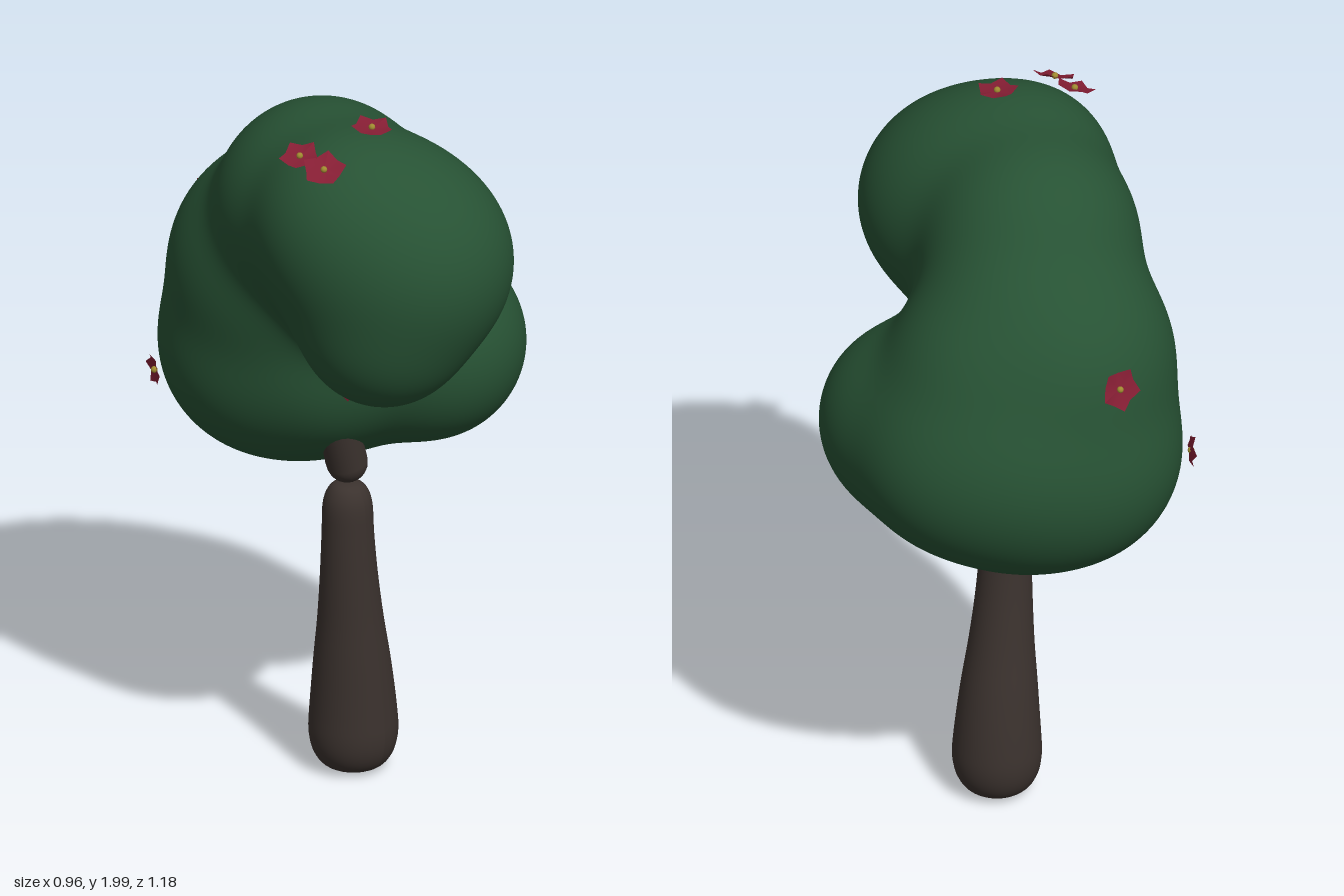
import * as THREE from 'three';
import { mergeVertices } from 'three/addons/utils/BufferGeometryUtils.js';

const mat = (color, side = THREE.FrontSide) => new THREE.MeshStandardMaterial({ color, side });
const V = (x, y, z) => new THREE.Vector3(x, y, z);

// Overlapping balls that melt together into the crown: x, y, z, radius
const BALLS = [
  [-0.05, 1.42, -0.21, 0.32],  // back
  [0.11, 1.40, -0.15, 0.255],  // right shoulder
  [0.00, 1.55, -0.12, 0.22],   // upper shoulder
  [0.20, 1.20, -0.16, 0.27],   // lower right
  [0.20, 1.19, 0.045, 0.26],   // front lobe
  [-0.05, 1.17, -0.275, 0.30], // lower back
  [0.10, 1.21, -0.24, 0.285],  // lower back right
  [0.05, 1.13, -0.21, 0.26],   // underside
  [-0.05, 1.17, -0.09, 0.205], // lower front
  [-0.24, 1.73, 0.18, 0.21],   // head, upper left
  [-0.17, 1.65, 0.23, 0.28],   // head
  [-0.13, 1.61, 0.32, 0.265],  // head, front
  [-0.20, 1.44, 0.29, 0.213],  // chin
  [-0.12, 1.67, -0.025, 0.275], // top bridge
];
const BLEND = 0.04;

function field(p) {
  let sum = 0;
  for (const [x, y, z, r] of BALLS) {
    sum += Math.exp((r - Math.hypot(p.x - x, p.y - y, p.z - z)) / BLEND);
  }
  return -BLEND * Math.log(sum);
}

function fieldNormal(p) {
  const e = 0.002;
  const slope = (dx, dy, dz) => field(V(p.x + dx, p.y + dy, p.z + dz)) - field(V(p.x - dx, p.y - dy, p.z - dz));
  return V(slope(e, 0, 0), slope(0, e, 0), slope(0, 0, e)).normalize();
}

// Shrink-wraps a fine ball onto the blended surface
function crownGeometry() {
  let geo = new THREE.IcosahedronGeometry(1, 48);
  geo.deleteAttribute('uv');
  geo.deleteAttribute('normal');
  geo = mergeVertices(geo, 1e-5);
  const pos = geo.attributes.position;
  const normals = new Float32Array(pos.count * 3);
  const centre = V(-0.04, 1.43, 0.03);
  const dir = V(0, 0, 0), p = V(0, 0, 0);
  for (let i = 0; i < pos.count; i++) {
    dir.fromBufferAttribute(pos, i).normalize();
    let t = 1;
    for (let k = 0; k < 50; k++) {
      const d = field(p.copy(centre).addScaledVector(dir, t));
      if (Math.abs(d) < 1e-4) break;
      t -= d * 0.9;
    }
    pos.setXYZ(i, p.x, p.y, p.z);
    fieldNormal(p).toArray(normals, i * 3);
  }
  geo.setAttribute('normal', new THREE.BufferAttribute(normals, 3));
  return geo;
}

// Tapered, rounded trunk, leaning as it rises
function trunkGeometry() {
  const profile = [[0, 0.005], [0.05, 0.009], [0.085, 0.025], [0.108, 0.06], [0.118, 0.11], [0.115, 0.18],
    [0.102, 0.32], [0.087, 0.45], [0.076, 0.58], [0.069, 0.7], [0.066, 0.78], [0.055, 0.82], [0.035, 0.842], [0, 0.848]];
  const curve = new THREE.SplineCurve(profile.map(([r, y]) => new THREE.Vector2(r, y)));
  const points = curve.getPoints(52).map((v) => new THREE.Vector2(Math.max(v.x, 0), v.y));
  const geo = new THREE.LatheGeometry(points, 32);
  const pos = geo.attributes.position;
  for (let i = 0; i < pos.count; i++) {
    const lean = THREE.MathUtils.smoothstep(pos.getY(i), 0.1, 0.8);
    pos.setX(i, pos.getX(i) - 0.003 - 0.045 * lean);
    pos.setZ(i, pos.getZ(i) - 0.024 + 0.024 * lean);
  }
  geo.computeVertexNormals();
  return geo;
}

function branch(from, to, radius, material) {
  const axis = to.clone().sub(from);
  const mesh = new THREE.Mesh(new THREE.CapsuleGeometry(radius, axis.length(), 8, 20), material);
  mesh.position.copy(from).add(to).multiplyScalar(0.5);
  mesh.quaternion.setFromUnitVectors(V(0, 1, 0), axis.normalize());
  mesh.name = 'branch';
  return mesh;
}

// Five-pointed blossom facing +z, with slightly curled tips
function blossomGeometry(radius) {
  const geo = new THREE.CircleGeometry(radius, 10);
  const pos = geo.attributes.position;
  for (let i = 1; i < pos.count; i++) {
    const tip = i % 2 === 1;
    const s = tip ? 1 : 0.78;
    pos.setXYZ(i, pos.getX(i) * s, pos.getY(i) * s, tip ? 0.012 : 0.003);
  }
  geo.computeVertexNormals();
  return geo;
}

export function createModel() {
  const tree = new THREE.Group();
  tree.name = 'tree';
  const bark = mat(0x3b322e);
  const petals = mat(0x861e34, THREE.DoubleSide);
  const pollen = mat(0xa08a30);

  const trunk = new THREE.Mesh(trunkGeometry(), bark);
  trunk.name = 'trunk';
  tree.add(trunk);

  // Branches forking into the crown
  tree.add(branch(V(-0.06, 0.91, 0.01), V(-0.13, 1.15, 0.01), 0.055, bark));
  tree.add(branch(V(-0.04, 0.9, -0.03), V(0.1, 1.2, -0.2), 0.045, bark));

  const crown = new THREE.Mesh(crownGeometry(), mat(0x275234));
  crown.name = 'crown';
  tree.add(crown);

  // Blossoms: position, facing, size, spin
  const blossoms = [
    [V(-0.38, 1.94, 0.16), V(-0.35, 1, 0.1), 0.055, 0.3],
    [V(-0.38, 1.93, 0.25), V(-0.4, 1, 0.3), 0.06, 0.9],
    [V(-0.175, 1.976, 0.22), V(0, 1, 0.1), 0.057, 0.1],
    [V(-0.03, 1.5, -0.545), V(0, 0.25, -1), 0.06, 0.3],
    [V(-0.345, 1.13, -0.415), V(-1, -0.1, -0.45), 0.045, 0.6],
    [V(-0.17, 1.2, 0.11), V(-1, -0.2, 0.2), 0.045, 0.2],
  ];
  for (const [at, facing, size, spin] of blossoms) {
    const flower = new THREE.Group();
    flower.name = 'blossom';
    const petal = new THREE.Mesh(blossomGeometry(size), petals);
    petal.name = 'petals';
    petal.rotation.z = spin;
    const heart = new THREE.Mesh(new THREE.SphereGeometry(0.009, 12, 8), pollen);
    heart.name = 'blossomHeart';
    heart.position.z = 0.005;
    flower.add(petal, heart);
    flower.position.copy(at);
    flower.quaternion.setFromUnitVectors(V(0, 0, 1), facing.normalize());
    tree.add(flower);
  }
  return tree;
}
